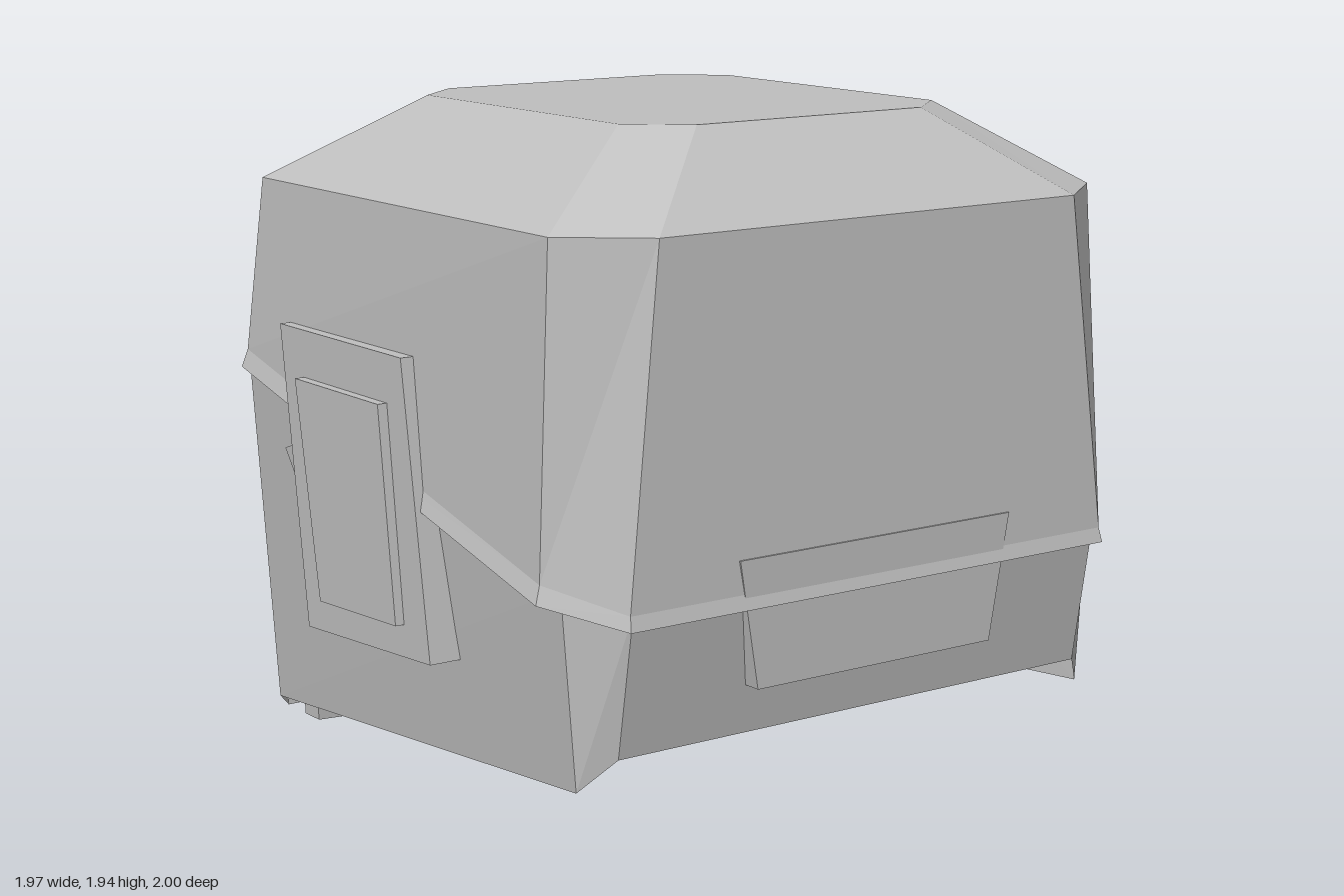
import * as THREE from 'three';
import { ConvexGeometry } from 'three/addons/geometries/ConvexGeometry.js';

const grey = new THREE.MeshStandardMaterial({ color: 0xbfbfbf, flatShading: true, side: THREE.DoubleSide });
grey.name = 'grey';

const flip = (pts) => pts.map(([x, y, z]) => [-x, y, z]);

// Eight-sided ring from its four +x points, listed from +z to -z
const ring = (half) => [...half, ...flip(half).reverse()];

// Skin between stacked rings (lowest first), optionally closed on top
function loft(name, halves, cap) {
  const rings = halves.map(ring), pos = [];
  const tri = (...p) => p.forEach((v) => pos.push(...v));
  for (let r = 0; r < rings.length - 1; r++) {
    const a = rings[r], b = rings[r + 1];
    for (let i = 0; i < 8; i++) {
      const j = (i + 1) % 8;
      tri(a[i], a[j], b[j]);
      tri(a[i], b[j], b[i]);
    }
  }
  if (cap) {
    const t = rings[rings.length - 1];
    for (let i = 1; i < 7; i++) tri(t[0], t[i], t[i + 1]);
  }
  const g = new THREE.BufferGeometry();
  g.setAttribute('position', new THREE.Float32BufferAttribute(pos, 3));
  g.computeVertexNormals();
  const m = new THREE.Mesh(g, grey);
  m.name = name;
  return m;
}

// Solid plate: outer corners, swept by the vector d
function slab(name, corners, d) {
  const pts = [];
  for (const [x, y, z] of corners) {
    pts.push(new THREE.Vector3(x, y, z), new THREE.Vector3(x + d[0], y + d[1], z + d[2]));
  }
  const m = new THREE.Mesh(new ConvexGeometry(pts), grey);
  m.name = name;
  return m;
}

export function createModel() {
  const helmet = new THREE.Group();
  helmet.name = 'helmet';
  const add = (...a) => helmet.add(slab(...a));
  const pair = (name, corners, d) => {
    add(name + 'Left', corners, d);
    add(name + 'Right', flip(corners), [-d[0], d[1], d[2]]);
  };

  // Faceted dome with a flared lip
  helmet.add(loft('domeShell', [
    [[0.79, 0.75, 0.995], [0.94, 0.8, 0.8], [0.94, 1.17, -0.7], [0.79, 1.21, -0.89]],
    [[0.785, 0.79, 0.985], [0.925, 0.85, 0.795], [0.925, 1.22, -0.69], [0.78, 1.26, -0.875]],
    [[0.68, 1.71, 0.96], [0.89, 1.71, 0.79], [0.89, 1.71, -0.64], [0.68, 1.71, -0.81]],
    [[0.37, 1.94, 0.69], [0.52, 1.94, 0.56], [0.52, 1.94, -0.36], [0.37, 1.94, -0.49]],
  ], true));

  // Lower walls, open underneath
  helmet.add(loft('lowerWalls', [
    [[0.77, 0.4, 0.91], [0.85, 0.31, 0.84], [0.84, 0.18, -0.71], [0.77, 0.12, -0.79]],
    [[0.77, 0.79, 0.975], [0.89, 0.84, 0.835], [0.9, 1.21, -0.73], [0.77, 1.24, -0.83]],
  ], false));

  // Neck plate
  add('neckPlate', [[-0.45, 0.88, 0.988], [0.45, 0.88, 0.988], [0.39, 0.535, 0.985], [-0.39, 0.535, 0.985]], [0, 0, -0.08]);

  // Ear plates, their raised centres and the small fins
  pair('earPlate', [[0.95, 1.33, 0.19], [0.95, 1.33, -0.45], [0.96, 0.5, -0.31], [0.96, 0.54, 0.33]], [-0.12, 0, 0]);
  pair('earPad', [[0.98, 1.2, 0.12], [0.98, 1.2, -0.32], [0.985, 0.6, -0.2], [0.985, 0.62, 0.2]], [-0.05, 0, 0]);
  pair('earFin', [[0.905, 1.02, -0.36], [0.9, 0.96, -0.53], [0.89, 0.7, -0.35]], [-0.05, 0, 0]);

  // Face mask: cheeks and a pointed nose ridge
  const dip = [0.22, 0.71, -0.95], jaw = [0.2, 0.03, -0.875];
  pair('maskCheek', [[0.73, 0.8, -0.82], dip, jaw, [0.725, 0.09, -0.77]], [0, 0, 0.08]);
  pair('maskNose', [dip, [0, 0.86, -1], [0, 0, -0.91], jaw], [0, 0, 0.09]);

  // Mouth vents
  for (const y of [0.385, 0.31]) {
    const bar = new THREE.Mesh(new THREE.BoxGeometry(0.2, 0.025, 0.06), grey);
    bar.position.set(0, y, -0.945);
    bar.name = 'mouthVent';
    helmet.add(bar);
  }

  // Eye frames, lenses and lens tabs
  pair('eyeFrame', [[0.05, 1.16, -0.875], [0.71, 1.19, -0.855], [0.66, 0.86, -0.845], [0.07, 0.78, -0.885]], [0, 0, 0.06]);
  pair('eyeLens', [[0.11, 1.12, -0.892], [0.65, 1.15, -0.872], [0.61, 0.9, -0.865], [0.13, 0.83, -0.9]], [0, 0, 0.04]);
  pair('eyeTab', [[0.2, 1.125, -0.9], [0.42, 1.14, -0.895], [0.36, 1.08, -0.895], [0.22, 1.07, -0.9]], [0, 0, 0.03]);

  // Ridge between the eyes
  add('eyeDivider', [[-0.025, 1.21, -0.885], [0.025, 1.21, -0.885], [0.035, 0.82, -0.96], [-0.035, 0.82, -0.96]], [0, 0, 0.1]);

  // Brow plate with a raised panel and a small block
  add('browPlate', [[-0.2, 1.74, -0.825], [0.2, 1.74, -0.825], [0.26, 1.3, -0.905], [-0.26, 1.3, -0.905]], [0, 0.01, 0.055]);
  add('browPanel', [[-0.14, 1.69, -0.85], [0.14, 1.69, -0.85], [0.18, 1.35, -0.915], [-0.18, 1.35, -0.915]], [0, 0, 0.03]);
  add('browBlock', [[-0.1, 1.435, -0.94], [0.1, 1.435, -0.94], [0.11, 1.36, -0.945], [-0.11, 1.36, -0.945]], [0, 0, 0.05]);

  // Uneven brow marks, lying on the sloped brow
  const onBrow = ([x, y]) => [x, y, -0.818 - (1.71 - y) * 0.147];
  add('browMarkLeft', [[0.59, 1.5], [0.36, 1.54], [0.45, 1.46], [0.69, 1.4]].map(onBrow), [0, 0, 0.02]);
  add('browMarkRight', [[-0.42, 1.57], [-0.57, 1.54], [-0.59, 1.51], [-0.42, 1.52]].map(onBrow), [0, 0, 0.02]);

  return helmet;
}
